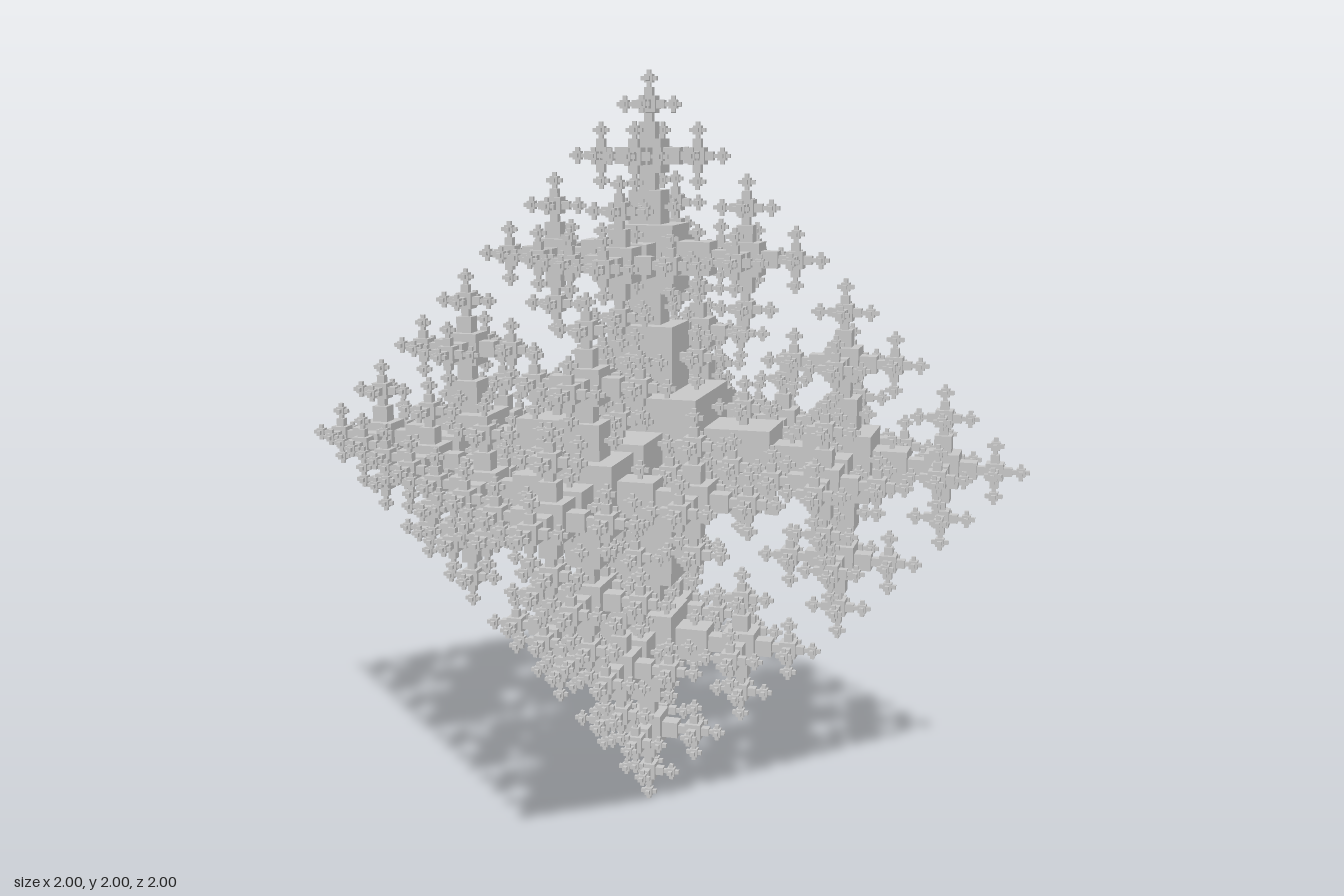
import * as THREE from 'three';
import { mergeGeometries } from 'three/addons/utils/BufferGeometryUtils.js';

const LEVELS = 5;
const CORE = 1 / 5.75; // half size of the central cube, so the tips reach 1 unit from the centre
const NAMES = ['centralCross', 'largeCrosses', 'mediumCrosses', 'smallCrosses', 'tipCrosses'];
const DIRECTIONS = [
  [1, 0, 0], [-1, 0, 0], [0, 1, 0], [0, -1, 0], [0, 0, 1], [0, 0, -1],
].map((d) => new THREE.Vector3(...d));

// One cross: a cube with a half-size cube on every face (three bars run through it)
function crossGeometry(h) {
  return mergeGeometries([
    new THREE.BoxGeometry(2 * h, 2 * h, 2 * h),
    new THREE.BoxGeometry(4 * h, h, h),
    new THREE.BoxGeometry(h, 4 * h, h),
    new THREE.BoxGeometry(h, h, 4 * h),
  ]);
}

export function createModel() {
  const model = new THREE.Group();
  model.name = 'crossFractal';
  const material = new THREE.MeshStandardMaterial({ color: 0xcccccc, flatShading: true });

  let centres = [new THREE.Vector3(0, 1, 0)];
  let h = CORE;
  for (let level = 0; level < LEVELS; level++) {
    // All crosses of one size
    const cross = crossGeometry(h);
    const parts = centres.map((c) => cross.clone().translate(c.x, c.y, c.z));
    const mesh = new THREE.Mesh(mergeGeometries(parts), material);
    mesh.name = NAMES[level];
    model.add(mesh);

    // Six half-size crosses around each one, touching its arm ends
    const step = 3 * h;
    centres = centres.flatMap((c) => DIRECTIONS.map((d) => c.clone().addScaledVector(d, step)));
    h /= 2;
  }
  return model;
}
